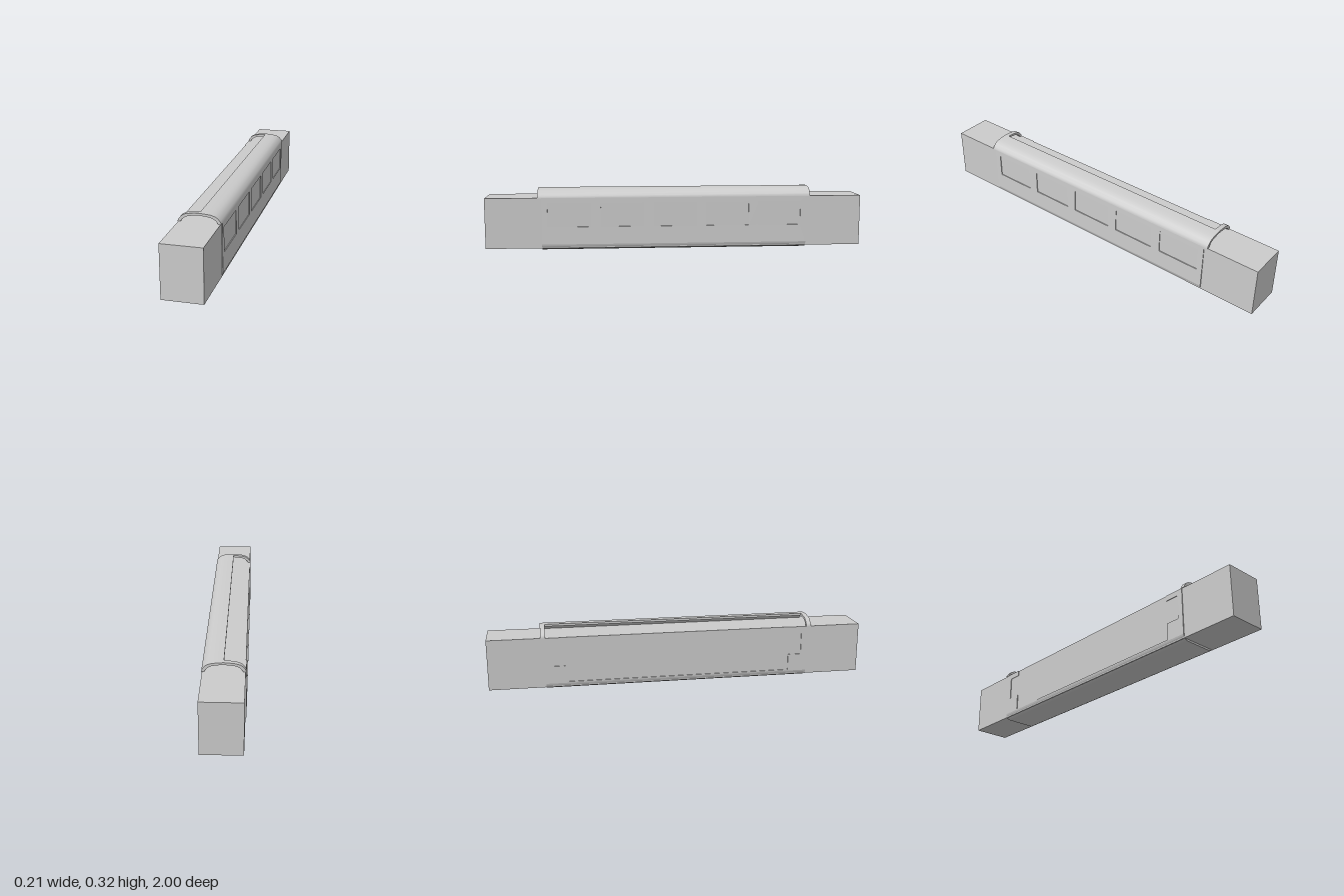
import * as THREE from 'three';
import { toCreasedNormals } from 'three/addons/utils/BufferGeometryUtils.js';

const BODY = 0.705;   // half length of walls and floor
const ROOF = 0.725;   // half length of roof
const EAVE = 0.277;   // height where the roof starts
const SILL = 0.03;    // height where the floor curve ends

const shapeOf = (pts) => new THREE.Shape(pts.map(([x, y]) => new THREE.Vector2(x, y)));

// Extrude an x-y section along z between two positions
function extrudeZ(shape, z0, z1) {
  const geo = new THREE.ExtrudeGeometry(shape, { depth: z1 - z0, bevelEnabled: false });
  geo.translate(0, 0, z0);
  return toCreasedNormals(geo, 0.75);
}

// Turn a z-y outline into a thin side wall, leaning slightly inwards
function wallGeometry(shape, side) {
  const t = 0.006;
  const geo = new THREE.ExtrudeGeometry(shape, { depth: t, bevelEnabled: false });
  geo.rotateY(-Math.PI / 2);
  geo.translate(side > 0 ? 0.105 : -0.105 + t, 0, 0);
  const p = geo.attributes.position;
  for (let i = 0; i < p.count; i++) {
    p.setX(i, p.getX(i) - side * 0.0018 * (p.getY(i) - SILL) / (EAVE - SILL));
  }
  geo.computeVertexNormals();
  return geo;
}

export function createModel() {
  const model = new THREE.Group();
  const grey = new THREE.MeshStandardMaterial({ color: 0xcccccc });
  grey.name = 'light grey';
  const add = (name, geo) => {
    const mesh = new THREE.Mesh(geo, grey);
    mesh.name = name;
    model.add(mesh);
  };

  // Long inner block running through the shell
  const core = new THREE.BoxGeometry(0.2, EAVE - 0.01, 2);
  core.translate(0, (EAVE + 0.01) / 2, 0);
  add('innerBlock', core);

  // Floor with rounded lower edges
  const edge = [[0.078, 0], [0.09, 0.004], [0.099, 0.014], [0.104, 0.024], [0.105, SILL]];
  const floor = [...edge, ...edge.map(([x, y]) => [-x, y]).reverse()];
  add('floor', extrudeZ(shapeOf(floor), -BODY, BODY));

  // Complete wall with five window openings
  const wall = shapeOf([[-BODY, SILL], [BODY, SILL], [BODY, EAVE], [-BODY, EAVE]]);
  const winLow = 0.123, winHigh = 0.248, winHalf = 0.114;
  for (let i = -2; i <= 2; i++) {
    const c = i * 0.28;
    wall.holes.push(new THREE.Path([
      [c - winHalf, winLow], [c - winHalf, winHigh], [c + winHalf, winHigh], [c + winHalf, winLow],
    ].map(([x, y]) => new THREE.Vector2(x, y))));
  }
  add('windowWall', wallGeometry(wall, 1));

  // Cut-away wall: low sill and end posts notched by the outer windows
  const cut = 0.603, notch = 0.674;
  const post = [
    [BODY, SILL], [BODY, EAVE], [cut, EAVE], [cut, winHigh], [notch, winHigh],
    [notch, winLow], [cut, winLow], [cut, SILL + 0.006],
  ];
  const cutaway = [...post, ...post.map(([x, y]) => [-x, y]).reverse()];
  add('cutawayWall', wallGeometry(shapeOf(cutaway), -1));

  // Curved roof: full length on one half, only end hoops on the other
  const outer = [[0.1035, EAVE], [0.1025, 0.284], [0.098, 0.292], [0.086, 0.307 - 0.001],
    [0.072, 0.314], [0.054, 0.319], [0.027, 0.322], [0, 0.324]];
  const inner = [[0, 0.312], [0.028, 0.310], [0.054, 0.306], [0.07, 0.299], [0.081, 0.29], [0.09, EAVE]];
  const half = [...outer, ...inner];
  add('roofHalf', extrudeZ(shapeOf(half), -ROOF, ROOF));
  const mirrored = half.map(([x, y]) => [-x, y]).reverse();
  add('frontRoofHoop', extrudeZ(shapeOf(mirrored), 0.7, ROOF));
  add('backRoofHoop', extrudeZ(shapeOf(mirrored), -ROOF, -0.7));

  return model;
}
